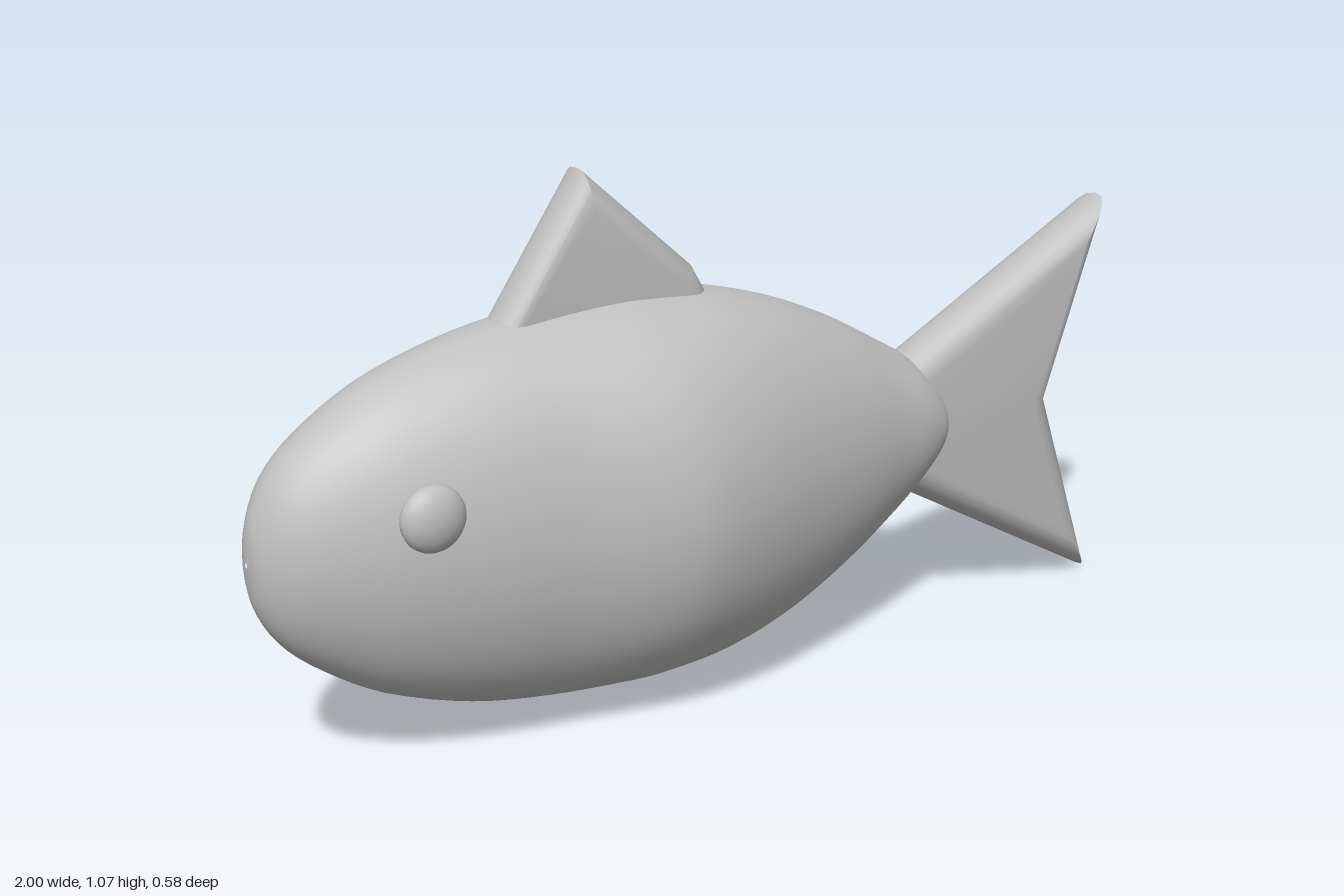
import * as THREE from 'three';
import { toCreasedNormals } from 'three/addons/utils/BufferGeometryUtils.js';

const grey = new THREE.MeshStandardMaterial({ color: 0xc0c0c0 });
grey.name = 'plain grey';

function addMesh(group, name, geometry) {
  const mesh = new THREE.Mesh(geometry, grey);
  mesh.name = name;
  group.add(mesh);
  return mesh;
}

function indexedGeometry(positions, indices) {
  const g = new THREE.BufferGeometry();
  g.setAttribute('position', new THREE.Float32BufferAttribute(positions, 3));
  g.setIndex(indices);
  g.computeVertexNormals();
  return g;
}

// Joins consecutive closed loops of equal size with quads.
function skin(rows, cols) {
  const indices = [];
  for (let i = 0; i < rows - 1; i++) {
    for (let j = 0; j < cols; j++) {
      const k = (j + 1) % cols;
      const a = i * cols + j, b = i * cols + k;
      indices.push(a, b, a + cols, b, b + cols, a + cols);
    }
  }
  return indices;
}

// Elliptical cross-sections along x: [x, top, bottom, half width].
const SECTIONS = [
  [-1, 0.445, 0.435, 0.004], [-0.99, 0.52, 0.355, 0.04], [-0.95, 0.6, 0.28, 0.09],
  [-0.88, 0.665, 0.215, 0.13], [-0.76, 0.735, 0.14, 0.175], [-0.6, 0.787, 0.083, 0.21],
  [-0.44, 0.815, 0.055, 0.237], [-0.28, 0.825, 0.045, 0.28], [-0.18, 0.822, 0.047, 0.29],
  [-0.05, 0.81, 0.057, 0.27], [0.1, 0.772, 0.095, 0.23], [0.25, 0.71, 0.16, 0.185],
  [0.37, 0.645, 0.23, 0.145], [0.46, 0.59, 0.295, 0.118], [0.52, 0.527, 0.355, 0.09],
  [0.545, 0.48, 0.4, 0.05], [0.552, 0.445, 0.435, 0.004],
];

function bodyGeometry() {
  const spline = (pick) => new THREE.CatmullRomCurve3(
    SECTIONS.map((s) => new THREE.Vector3(...pick(s))), false, 'catmullrom', 0.5);
  const profile = spline(([x, top, bottom]) => [x, top, bottom]);
  const width = spline(([x, , , w]) => [x, w, 0]);
  const rows = 65, cols = 48, positions = [];
  for (let i = 0; i < rows; i++) {
    const p = profile.getPoint(i / (rows - 1));
    const w = width.getPoint(i / (rows - 1)).y;
    for (let j = 0; j < cols; j++) {
      const a = (j / cols) * Math.PI * 2;
      positions.push(p.x, (p.y + p.z) / 2 + ((p.y - p.z) / 2) * Math.cos(a), w * Math.sin(a));
    }
  }
  return indexedGeometry(positions, skin(rows, cols));
}

// Moves every edge of a counter-clockwise outline inwards by d.
function inset(points, d) {
  const n = points.length;
  const normal = (a, b) => new THREE.Vector2(a.y - b.y, b.x - a.x).normalize();
  return points.map((p, i) => {
    const n1 = normal(points[(i + n - 1) % n], p);
    const n2 = normal(p, points[(i + 1) % n]);
    return p.clone().addScaledVector(n1.clone().add(n2), d / (1 + n1.dot(n2)));
  });
}

// Flat fin with fully rounded rims.
function finGeometry(outline, halfThickness, radius) {
  const points = outline.map(([x, y]) => new THREE.Vector2(x, y));
  const layers = 13, cols = points.length, positions = [];
  for (let i = 0; i < layers; i++) {
    const t = (i / (layers - 1) - 0.5) * Math.PI;
    const z = (halfThickness - radius) * Math.sign(t) + radius * Math.sin(t);
    for (const p of inset(points, radius * (1 - Math.cos(t)))) positions.push(p.x, p.y, z);
  }
  const indices = skin(layers, cols);
  const last = (layers - 1) * cols;
  for (const [a, b, c] of THREE.ShapeUtils.triangulateShape(inset(points, radius), [])) {
    indices.push(last + a, last + b, last + c, c, b, a);
  }
  return toCreasedNormals(indexedGeometry(positions, indices), 0.7);
}

export function createModel() {
  const group = new THREE.Group();
  group.name = 'fish';

  addMesh(group, 'body', bodyGeometry());

  // Forked tail, its root buried in the body
  addMesh(group, 'tailFin', finGeometry(
    [[0.35, 0.35], [0.46, 0.295], [1, 0], [0.845, 0.44], [1, 0.872], [0.46, 0.59], [0.35, 0.533]],
    0.066, 0.058));

  // Triangular fin on the back
  addMesh(group, 'dorsalFin', finGeometry(
    [[-0.54, 0.75], [-0.05, 0.75], [-0.045, 0.8], [-0.08, 0.86], [-0.32, 1.07]], 0.055, 0.048));

  // Flattened eyes on both sides
  for (const side of [1, -1]) {
    const eye = addMesh(group, side > 0 ? 'frontEye' : 'backEye', new THREE.SphereGeometry(1, 24, 16));
    eye.scale.set(0.062, 0.062, 0.034);
    eye.position.set(-0.737, 0.536, 0.206 * side);
  }
  return group;
}
